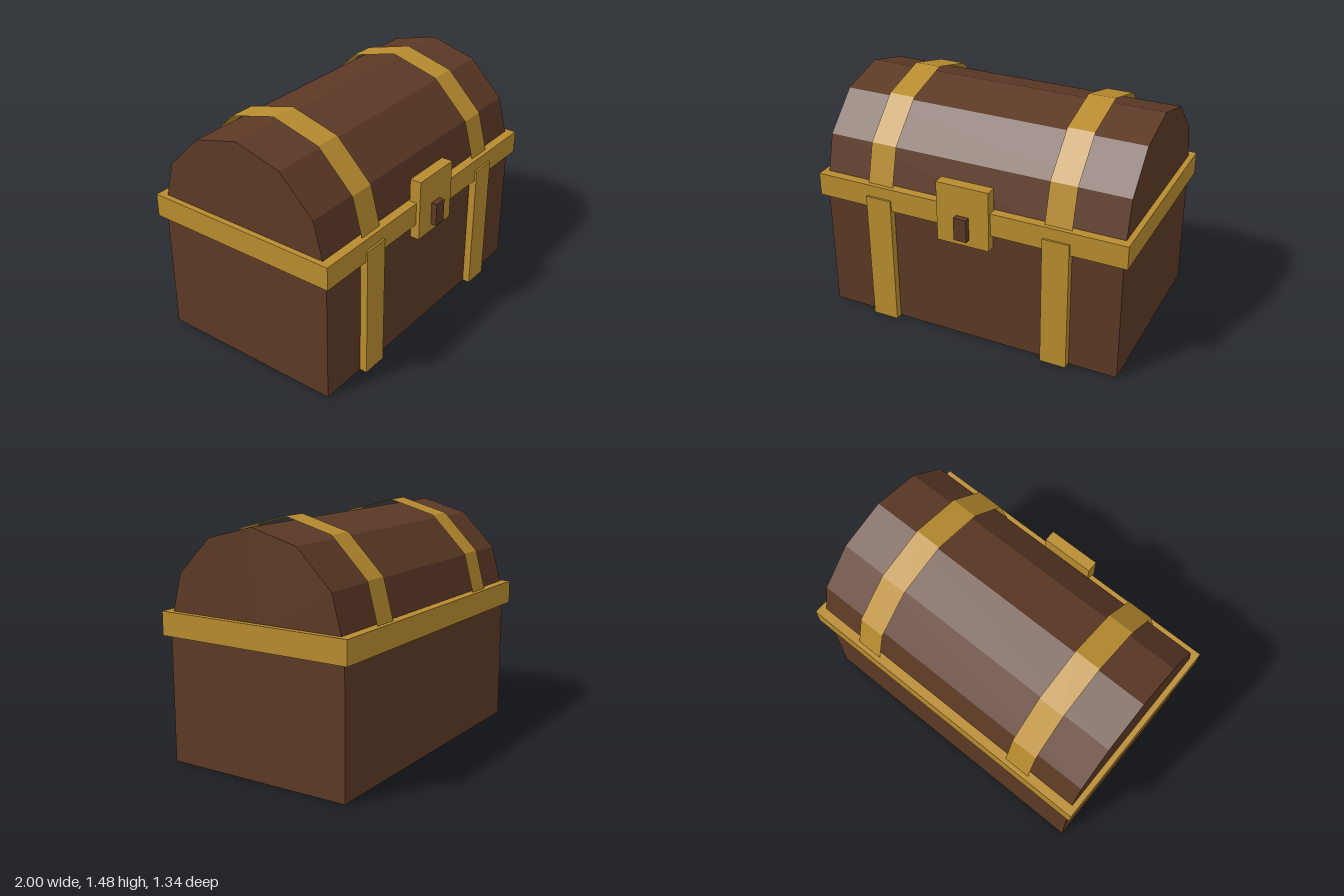
import * as THREE from 'three';

export function createModel() {
  const chest = new THREE.Group();
  chest.name = 'treasureChest';

  const wood = new THREE.MeshStandardMaterial({ color: 0x5c3925, flatShading: true });
  wood.name = 'brown wood';
  const brass = new THREE.MeshStandardMaterial({ color: 0xb88c2f, flatShading: true, side: THREE.DoubleSide });
  brass.name = 'brass';

  const centreZ = -0.03; // middle of the chest body
  const lidBase = 0.845; // height of the lid's axis

  const add = (name, geometry, material) => {
    const mesh = new THREE.Mesh(geometry, material);
    mesh.name = name;
    chest.add(mesh);
  };

  // Box given by its lower and upper corners
  const box = (name, material, [x0, y0, z0], [x1, y1, z1]) => {
    const geometry = new THREE.BoxGeometry(x1 - x0, y1 - y0, z1 - z0);
    geometry.translate((x0 + x1) / 2, (y0 + y1) / 2, (z0 + z1) / 2);
    add(name, geometry, material);
  };

  // Six-sided half barrel lying along x
  const arch = (name, material, radius, width, x, open) => {
    const geometry = new THREE.CylinderGeometry(radius, radius, width, 6, 1, open, 0, Math.PI);
    geometry.rotateZ(Math.PI / 2).translate(x, lidBase, centreZ);
    add(name, geometry, material);
  };

  // Wooden body and domed lid
  box('body', wood, [-0.965, 0, -0.63], [0.965, lidBase, 0.573]);
  arch('lid', wood, 0.6, 1.93, 0, false);

  // Brass rim where lid and body meet
  box('rim', brass, [-1, 0.774, -0.668], [1, 0.919, 0.608]);

  // Bands over the lid and straps down the front
  for (const [side, s] of [['left', 1], ['right', -1]]) {
    const x = s * 0.577;
    arch(side + 'LidBand', brass, 0.63, 0.167, x, true);
    box(side + 'FrontStrap', brass, [x - 0.083, 0, 0.56], [x + 0.083, 0.845, 0.62]);
  }

  // Lock plate with its raised keyhole block
  box('lockPlate', brass, [-0.168, 0.68, 0.56], [0.168, 1.063, 0.632]);
  box('keyhole', wood, [-0.041, 0.727, 0.6], [0.041, 0.872, 0.668]);

  return chest;
}
